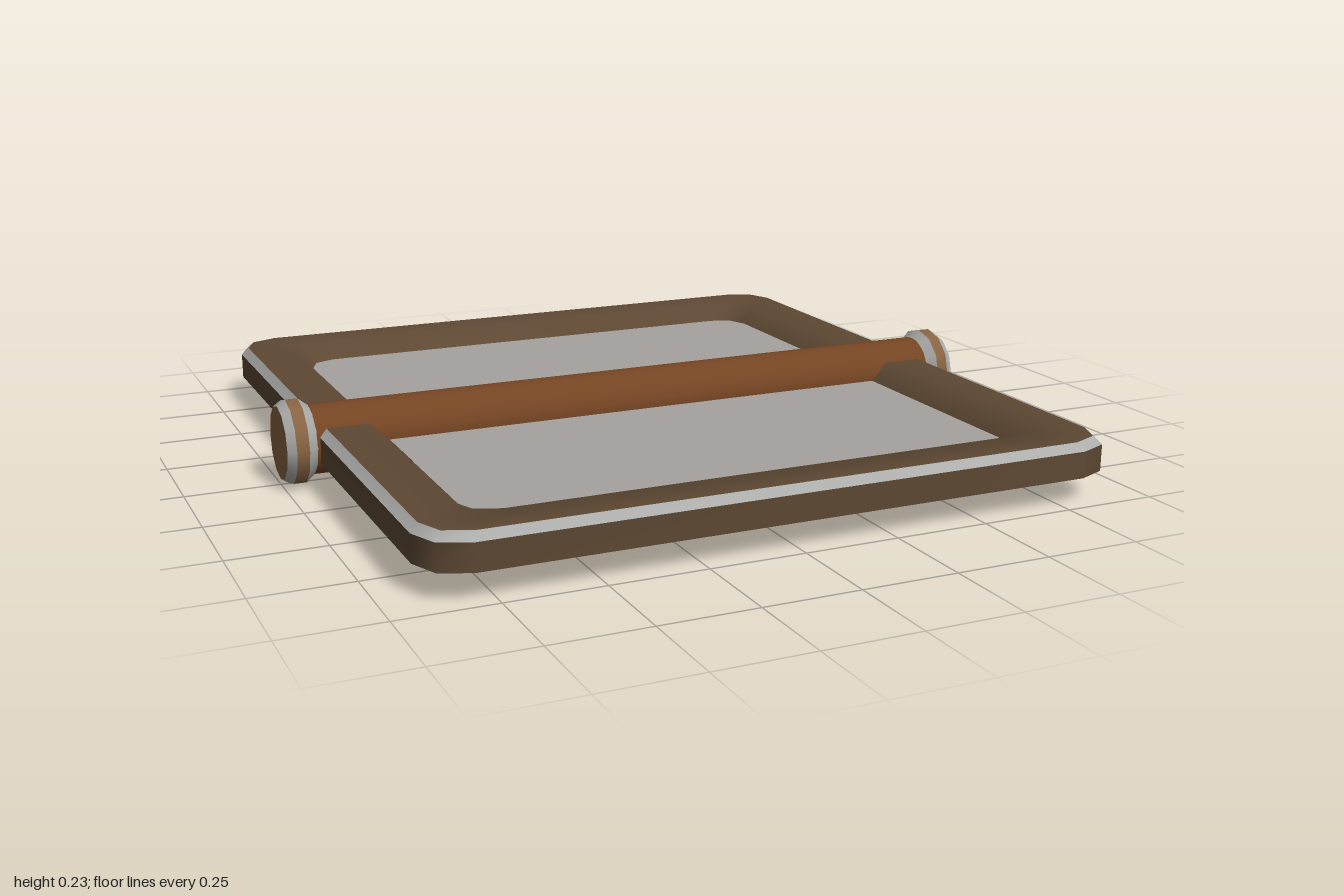
import * as THREE from 'three';
import { toCreasedNormals } from 'three/addons/utils/BufferGeometryUtils.js';

const AXIS_Y = 0.113;

function material(name, color) {
  const m = new THREE.MeshStandardMaterial({ color });
  m.name = name;
  return m;
}

// Rounded rectangle loop with two facets per corner
function loop(hx, hz, r, y) {
  const pts = [];
  [[1, 1], [-1, 1], [-1, -1], [1, -1]].forEach(([sx, sz], corner) => {
    for (let k = 0; k <= 2; k++) {
      const a = (corner + k / 2) * Math.PI / 2;
      pts.push([sx * (hx - r) + r * Math.cos(a), y, sz * (hz - r) + r * Math.sin(a)]);
    }
  });
  return pts;
}

// Skin consecutive loops, softening the shallow edges
function skin(loops) {
  const pos = [];
  for (let s = 0; s < loops.length - 1; s++) {
    const a = loops[s], b = loops[s + 1], n = a.length;
    for (let i = 0; i < n; i++) {
      const j = (i + 1) % n;
      pos.push(...a[i], ...b[i], ...a[j], ...a[j], ...b[i], ...b[j]);
    }
  }
  const g = new THREE.BufferGeometry();
  g.setAttribute('position', new THREE.Float32BufferAttribute(pos, 3));
  return toCreasedNormals(g, 0.85);
}

export function createModel() {
  const model = new THREE.Group();
  const wood = material('dark frame wood', 0x5d4833);
  const barWood = material('red bar wood', 0x754523);
  const capWood = material('light cap wood', 0x886443);
  const metal = material('edge metal', 0xacacaa);
  const panelGrey = material('panel grey', 0xa5a29f);
  const panelBeige = material('panel underside beige', 0xd8c7bb);

  const add = (parent, name, geometry, mat) => {
    const mesh = new THREE.Mesh(geometry, mat);
    mesh.name = name;
    parent.add(mesh);
    return mesh;
  };

  // Frame: outer wall, metal top bevel, then top, sloped opening and underside
  const bottom = loop(0.912, 0.98, 0.11, 0.07);
  const wallTop = loop(0.912, 0.98, 0.11, 0.14);
  const bevelTop = loop(0.892, 0.96, 0.1, 0.16);
  const innerTop = loop(0.78, 0.85, 0.09, 0.16);
  const waist = loop(0.73, 0.8, 0.08, AXIS_Y);
  const innerBottom = loop(0.78, 0.85, 0.09, 0.07);
  add(model, 'frameWall', skin([bottom, wallTop]), wood);
  add(model, 'frameEdge', skin([wallTop, bevelTop]), metal);
  add(model, 'frameFace', skin([bevelTop, innerTop, waist, innerBottom, bottom]), wood);

  // Panel filling the opening, one face up and one face down
  const shape = new THREE.Shape(waist.map(([x, , z]) => new THREE.Vector2(x, -z)));
  for (const [name, side, mat] of [['panelTop', 1, panelGrey], ['panelUnderside', -1, panelBeige]]) {
    const panel = add(model, name, new THREE.ShapeGeometry(shape), mat);
    panel.rotation.x = -side * Math.PI / 2;
    panel.position.y = AXIS_Y + side * 0.001;
  }

  // Hinge bar across the middle
  const bar = add(model, 'hingeBar', new THREE.CylinderGeometry(0.092, 0.092, 1.84, 24, 1, true), barWood);
  bar.rotation.z = Math.PI / 2;
  bar.position.y = AXIS_Y;

  // End caps: bevelled metal rims around a wooden band and disc
  const rings = [
    ['capInnerRim', [[0.085, 0.91], [0.113, 0.945]], metal],
    ['capBand', [[0.113, 0.945], [0.113, 0.978]], capWood],
    ['capOuterRim', [[0.113, 0.978], [0.098, 1]], metal],
    ['capDisc', [[0.098, 1], [0, 1]], capWood],
  ];
  for (const side of [1, -1]) {
    const cap = new THREE.Group();
    cap.name = side > 0 ? 'leftCap' : 'rightCap';
    for (const [name, pts, mat] of rings) {
      add(cap, name, new THREE.LatheGeometry(pts.map(p => new THREE.Vector2(...p)), 12), mat);
    }
    cap.rotation.z = -side * Math.PI / 2;
    cap.position.y = AXIS_Y;
    model.add(cap);
  }
  return model;
}
